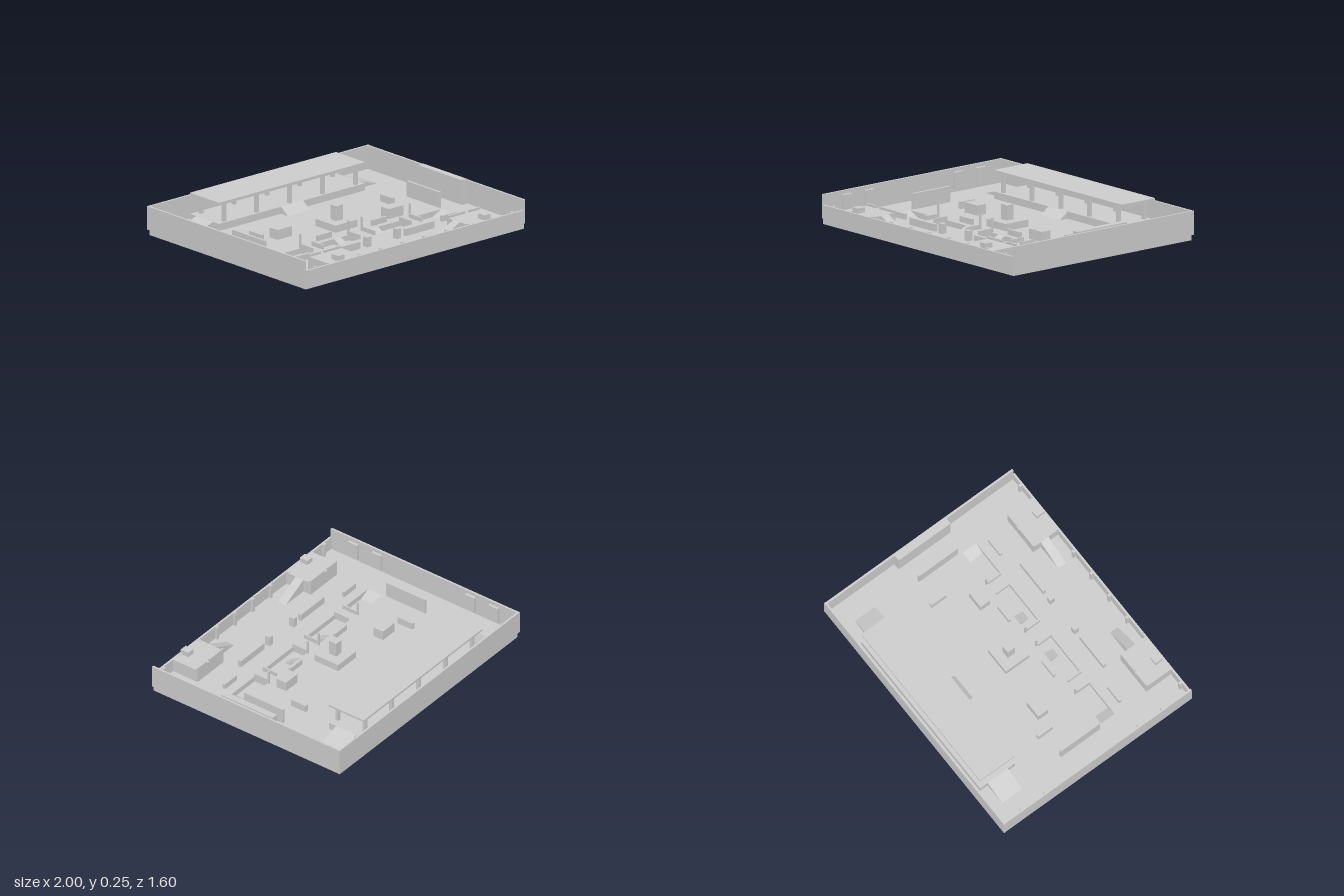
import * as THREE from 'three';

const FLOOR = 0.05;
const TRENCH = 0.01;

export function createModel() {
  const model = new THREE.Group();
  const material = new THREE.MeshStandardMaterial({ color: 0xcccccc, flatShading: true });

  function add(name, geometry) {
    const mesh = new THREE.Mesh(geometry, material);
    mesh.name = name;
    model.add(mesh);
    return mesh;
  }

  // Box given by its extents on each axis
  function box(name, x0, x1, y0, y1, z0, z1) {
    const mesh = add(name, new THREE.BoxGeometry(x1 - x0, y1 - y0, z1 - z0));
    mesh.position.set((x0 + x1) / 2, (y0 + y1) / 2, (z0 + z1) / 2);
  }

  // The same box on the left and right halves
  function pair(name, x0, x1, y0, y1, z0, z1) {
    box(name, x0, x1, y0, y1, z0, z1);
    box(name, -x1, -x0, y0, y1, z0, z1);
  }

  // Wedge whose high edge sits at (x, z) and which descends along +x turned by angle
  function ramp(name, x, z, y, rise, run, width, angle) {
    const shape = new THREE.Shape();
    shape.moveTo(0, 0);
    shape.lineTo(run, 0);
    shape.lineTo(0, rise);
    const geometry = new THREE.ExtrudeGeometry(shape, { depth: width, bevelEnabled: false });
    geometry.translate(0, 0, -width / 2);
    const mesh = add(name, geometry);
    mesh.rotation.y = angle;
    mesh.position.set(x, y, z);
  }

  function rectangle(path, x0, x1, z0, z1) {
    path.moveTo(x0, z0);
    path.lineTo(x1, z0);
    path.lineTo(x1, z1);
    path.lineTo(x0, z1);
    path.closePath();
    return path;
  }

  // Ground slab with four trench openings, and the trench bed below
  const ground = rectangle(new THREE.Shape(), -0.985, 0.985, -0.79, 0.79);
  for (const [a, b] of [[-0.77, -0.49], [-0.405, -0.06], [0.06, 0.405], [0.49, 0.77]]) {
    ground.holes.push(rectangle(new THREE.Path(), a, b, 0.195, 0.31));
  }
  const slab = new THREE.ExtrudeGeometry(ground, { depth: FLOOR - TRENCH, bevelEnabled: false });
  slab.rotateX(Math.PI / 2);
  slab.translate(0, FLOOR, 0);
  add('ground', slab);
  box('trenchBed', -0.79, 0.79, 0, 0.012, 0.195, 0.312);

  // Perimeter walls, lower at the front
  pair('sideWall', 0.983, 0.998, FLOOR, 0.215, -0.79, 0.79);
  box('backWall', -1, 1, FLOOR, 0.215, -0.8, -0.785);
  box('frontWall', -0.985, 0.985, FLOOR, 0.145, 0.785, 0.8);
  for (let i = 0; i < 10; i++) {
    const x = -0.89 + i * 1.78 / 9;
    box('frontButtress', x - 0.01, x + 0.01, FLOOR, 0.15, 0.765, 0.785);
  }
  for (const z of [-0.6, -0.4, 0.39, 0.59]) {
    box('wallPanel', -0.985, -0.962, 0.07, 0.19, z - 0.04, z + 0.04);
  }
  box('gateBlock', 0.935, 0.983, FLOOR, 0.225, -0.22, 0.22);

  // Trench ramps, railings and corner poles
  for (const s of [-1, 1]) {
    ramp('trenchEndRamp', s * 0.77, 0.2525, TRENCH, FLOOR - TRENCH, 0.08, 0.115, s < 0 ? 0 : Math.PI);
    ramp('trenchSideRamp', s * 0.167, 0.195, TRENCH, FLOOR - TRENCH, 0.08, 0.065, -Math.PI / 2);
  }
  for (const x of [0.06, 0.39, 0.485]) {
    pair('bridgeRail', x, x + 0.012, FLOOR, 0.08, 0.195, 0.31);
  }
  for (const x of [0.055, 0.49]) {
    pair('bridgePole', x, x + 0.01, FLOOR, 0.15, 0.18, 0.195);
  }

  // Back pavilion: deck, posts, roof and access ramps
  box('pavilionDeck', -0.66, 0.66, FLOOR, 0.1, -0.745, -0.45);
  box('pavilionRoof', -0.66, 0.66, 0.235, 0.25, -0.745, -0.45);
  for (let i = -2; i <= 2; i++) {
    for (const z of [-0.475, -0.705]) {
      box('pavilionPost', i * 0.297 - 0.012, i * 0.297 + 0.012, 0.1, 0.235, z - 0.012, z + 0.012);
    }
  }
  ramp('pavilionFrontRamp', 0, -0.45, FLOOR, 0.05, 0.07, 0.2, -Math.PI / 2);
  ramp('pavilionSideRamp', 0.66, -0.595, FLOOR, 0.05, 0.16, 0.17, 0);
  ramp('pavilionSideRamp', -0.66, -0.595, FLOOR, 0.05, 0.16, 0.17, Math.PI);

  // Central plinth and tower
  box('centralPlinth', -0.1, 0.1, FLOOR, 0.1, -0.1, 0.1);
  box('centralTower', -0.03, 0.03, 0.1, 0.205, -0.03, 0.03);

  // Cover walls and crates
  pair('longCoverWall', 0.78, 0.798, FLOOR, 0.16, -0.165, 0.165);
  pair('shortCoverWall', 0.58, 0.605, FLOOR, 0.1, -0.21, -0.085);
  box('crate', -0.495, -0.365, FLOOR, 0.12, -0.125, -0.045);
  box('crate', 0.365, 0.495, FLOOR, 0.12, 0.04, 0.12);
  pair('lowBarrier', 0.183, 0.313, FLOOR, 0.09, 0.14, 0.157);
  pair('lowBarrier', 0.595, 0.727, FLOOR, 0.09, 0.38, 0.4);
  pair('lowBarrier', 0.203, 0.463, FLOOR, 0.1, 0.447, 0.47);
  pair('pillar', 0.115, 0.153, FLOOR, 0.12, 0.44, 0.48);

  // Front corner platforms with a notched parapet, lookout box and ramp
  pair('cornerPlatform', 0.483, 0.773, FLOOR, 0.145, 0.577, 0.785);
  pair('parapet', 0.483, 0.638, 0.145, 0.162, 0.577, 0.59);
  pair('parapet', 0.67, 0.773, 0.145, 0.162, 0.577, 0.59);
  pair('lookoutBox', 0.633, 0.688, 0.145, 0.18, 0.72, 0.785);
  ramp('platformRamp', -0.483, 0.672, FLOOR, 0.095, 0.195, 0.065, 0);
  ramp('platformRamp', 0.483, 0.672, FLOOR, 0.095, 0.195, 0.065, Math.PI);

  return model;
}
